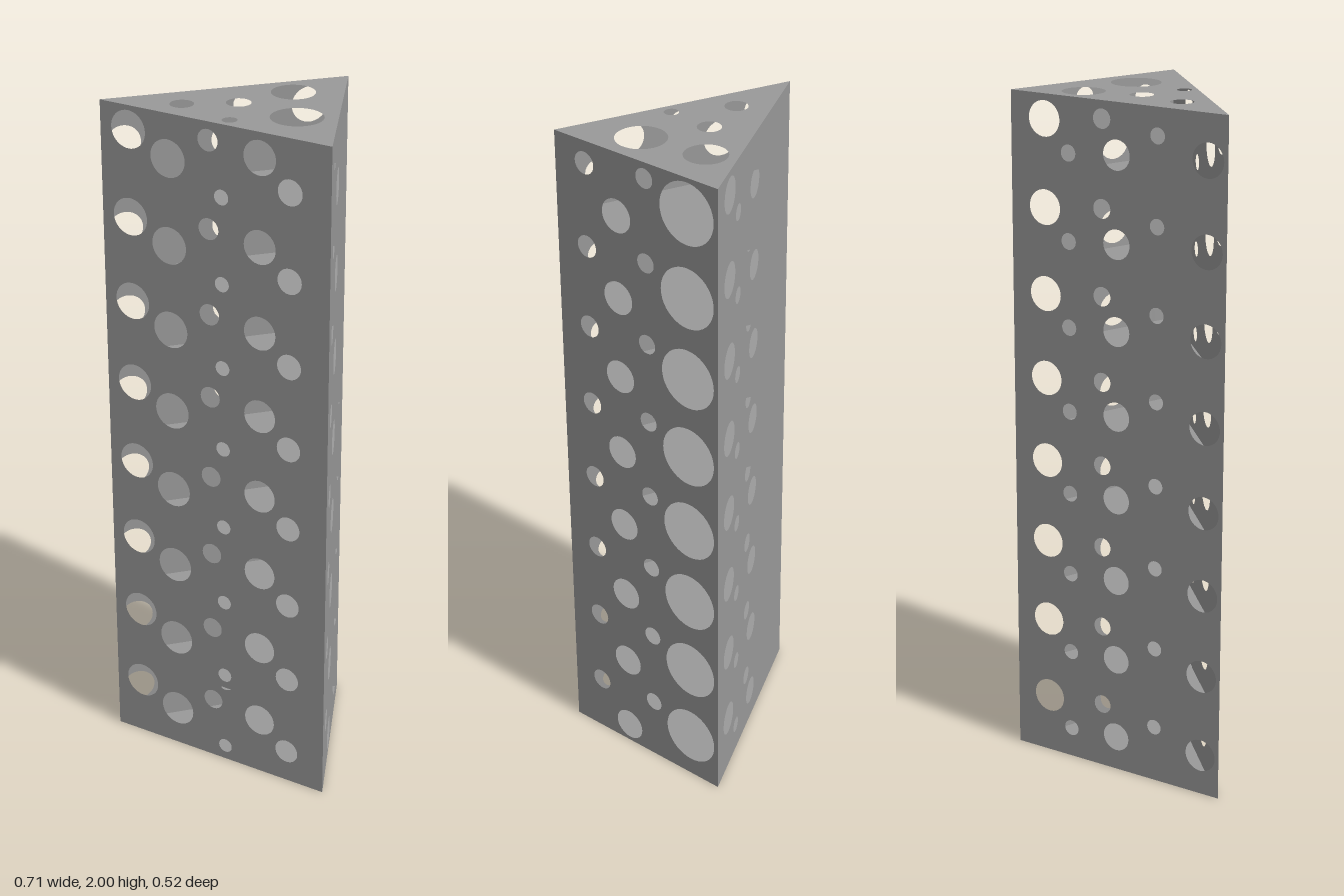
import * as THREE from 'three';

const HEIGHT = 2, LEVELS = 8, STEP = HEIGHT / LEVELS;

// Corners of the triangular plan, as (x, z)
const A = new THREE.Vector2(-0.355, 0.23);
const B = new THREE.Vector2(0.355, 0.26);
const C = new THREE.Vector2(0.143, -0.26);

// Round openings repeated on every level: [fraction along wall, height in level, radius]
const FRONT = [
  [0.125, 0.182, 0.054], [0.299, 0.123, 0.054], [0.476, 0.198, 0.031],
  [0.533, 0.046, 0.022], [0.699, 0.179, 0.049], [0.828, 0.101, 0.037],
];
const SIDE = [
  [0.185, 0.184, 0.033], [0.379, 0.062, 0.05], [0.558, 0.203, 0.029], [0.813, 0.146, 0.091],
];
const BACK = [
  [0.159, 0.18, 0.051], [0.272, 0.092, 0.024], [0.43, 0.199, 0.028],
  [0.498, 0.104, 0.043], [0.686, 0.171, 0.023], [0.912, 0.122, 0.049],
];
// Openings in the roof: [x, z, radius]
const ROOF = [
  [0.073, -0.068, 0.061], [0.174, 0.105, 0.072], [-0.016, 0.076, 0.034],
  [-0.144, 0.157, 0.033], [0.029, 0.208, 0.021],
];

const material = new THREE.MeshStandardMaterial({ color: 0x9a9a9a, side: THREE.DoubleSide });

function punch(shape, x, y, r) {
  shape.holes.push(new THREE.Path().absarc(x, y, r, 0, Math.PI * 2, true));
}

function panel(name, shape) {
  const mesh = new THREE.Mesh(new THREE.ShapeGeometry(shape, 20), material);
  mesh.name = name;
  return mesh;
}

// Upright wall from p to q, its openings repeated on each level
function wall(name, p, q, holes) {
  const length = p.distanceTo(q);
  const shape = new THREE.Shape([
    new THREE.Vector2(0, 0), new THREE.Vector2(length, 0),
    new THREE.Vector2(length, HEIGHT), new THREE.Vector2(0, HEIGHT),
  ]);
  for (let i = 0; i < LEVELS; i++) {
    for (const [t, y, r] of holes) punch(shape, t * length, i * STEP + y, r);
  }
  const mesh = panel(name, shape);
  mesh.position.set(p.x, 0, p.y);
  mesh.rotation.y = Math.atan2(p.y - q.y, q.x - p.x);
  return mesh;
}

// Horizontal triangular slab
function slab(name, y, holes = []) {
  const shape = new THREE.Shape([A, B, C].map((c) => new THREE.Vector2(c.x, -c.y)));
  for (const [x, z, r] of holes) punch(shape, x, -z, r);
  const mesh = panel(name, shape);
  mesh.rotation.x = -Math.PI / 2;
  mesh.position.y = y;
  return mesh;
}

export function createModel() {
  const tower = new THREE.Group();
  tower.name = 'triangularTower';

  tower.add(
    wall('frontWall', A, B, FRONT),
    wall('sideWall', B, C, SIDE),
    wall('backWall', C, A, BACK),
    slab('roof', HEIGHT, ROOF),
  );

  // Solid floors, the lowest closing the base
  for (let i = 0; i < LEVELS; i++) tower.add(slab(`floor${i}`, i * STEP));

  // Small round ledge peeking out of the front above the first level
  const ledge = new THREE.Mesh(new THREE.CircleGeometry(0.02, 32), material);
  ledge.name = 'ledge';
  ledge.rotation.x = -Math.PI / 2;
  ledge.position.set(0.029, STEP + 0.003, 0.236);
  tower.add(ledge);

  return tower;
}
